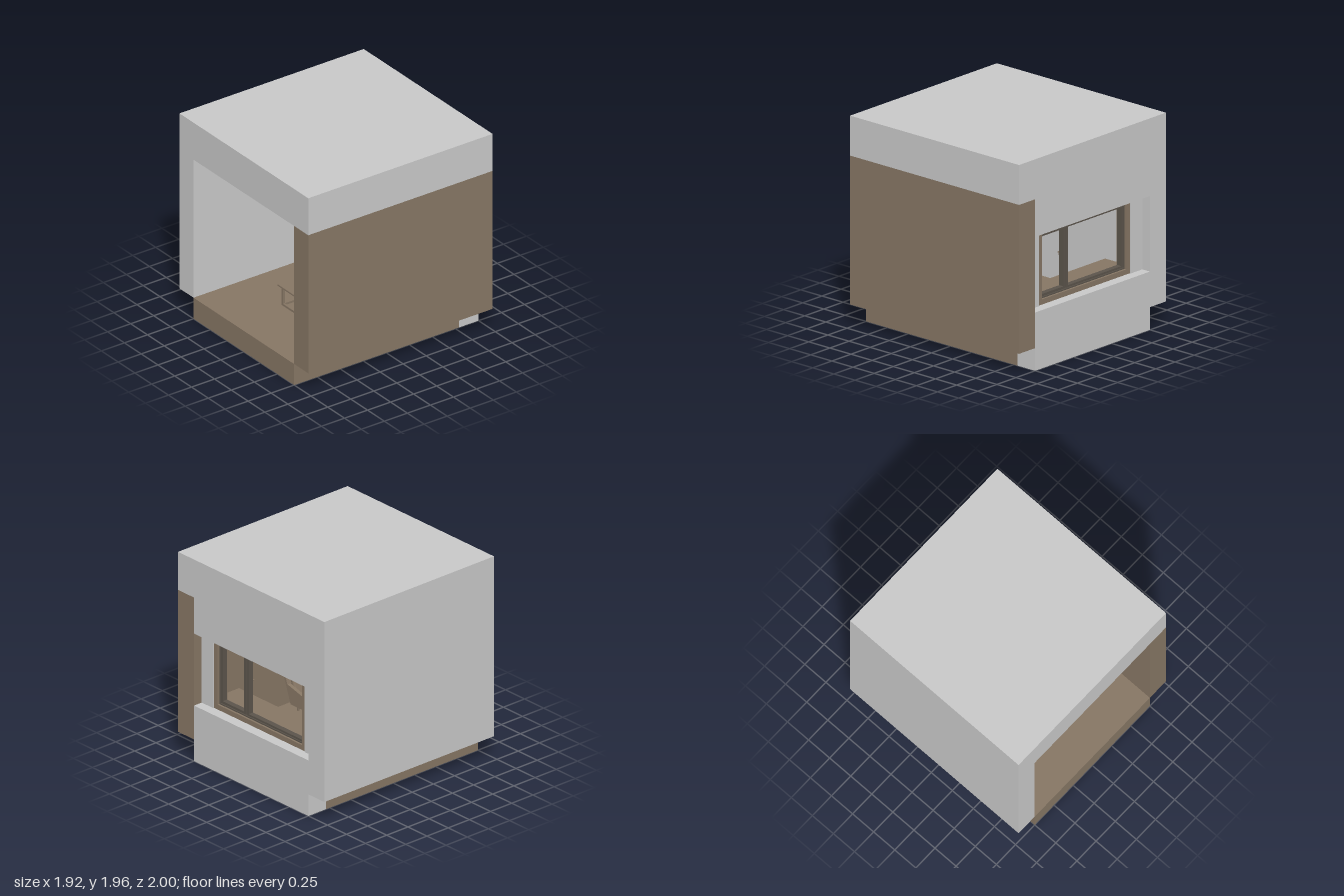
import * as THREE from 'three';
import { RoundedBoxGeometry } from 'three/addons/geometries/RoundedBoxGeometry.js';

const material = (name, color) => {
  const m = new THREE.MeshStandardMaterial({ color });
  m.name = name;
  return m;
};

export function createModel() {
  const plaster = material('plaster grey', 0xc8c8c8);
  const wood = material('wood brown', 0x867664);
  const metal = material('dark window frame', 0x5b544b);
  const seal = material('black seal', 0x26231f);

  const model = new THREE.Group();
  model.name = 'room';

  const group = (name) => {
    const g = new THREE.Group();
    g.name = name;
    model.add(g);
    return g;
  };
  const add = (parent, name, geometry, mat) => {
    const mesh = new THREE.Mesh(geometry, mat);
    mesh.name = name;
    parent.add(mesh);
    return mesh;
  };
  // Box given by its limits along each axis
  const box = (parent, name, mat, x0, x1, y0, y1, z0, z1) =>
    add(parent, name, new THREE.BoxGeometry(x1 - x0, y1 - y0, z1 - z0), mat)
      .position.set((x0 + x1) / 2, (y0 + y1) / 2, (z0 + z1) / 2);
  // Side profile in x and y, extruded between two z values
  const prism = (parent, name, mat, points, z0, z1) => {
    const shape = new THREE.Shape(points.map(([x, y]) => new THREE.Vector2(x, y)));
    const geometry = new THREE.ExtrudeGeometry(shape, { depth: z1 - z0, bevelEnabled: false });
    add(parent, name, geometry, mat).position.z = z0;
  };
  // Rectangular frame with a hole, extruded between two z values
  const frame = (parent, name, mat, x0, x1, y0, y1, border, z0, z1) => {
    const rect = (Type, a, b, c, d) => new Type([
      new THREE.Vector2(a, c), new THREE.Vector2(b, c), new THREE.Vector2(b, d), new THREE.Vector2(a, d)]);
    const shape = rect(THREE.Shape, x0, x1, y0, y1);
    shape.holes.push(rect(THREE.Path, x0 + border, x1 - border, y0 + border, y1 - border));
    const geometry = new THREE.ExtrudeGeometry(shape, { depth: z1 - z0, bevelEnabled: false });
    add(parent, name, geometry, mat).position.z = z0;
  };

  // Room shell
  const shell = group('shell');
  box(shell, 'ceilingSlab', plaster, -0.96, 0.96, 1.59, 1.96, -1, 1);
  box(shell, 'leftWall', plaster, -0.96, -0.75, 0.21, 1.59, -1, 1);
  box(shell, 'woodWall', wood, 0.75, 0.96, 0.21, 1.59, -1, 1);
  box(shell, 'floor', wood, -0.75, 0.75, 0, 0.21, -0.79, 1);
  box(shell, 'backWallLower', plaster, -0.75, 0.75, 0, 0.54, -1, -0.79);
  box(shell, 'backWallUpper', plaster, -0.75, 0.75, 1.24, 1.59, -1, -0.79);
  box(shell, 'windowPierRight', plaster, -0.75, -0.6, 0.54, 1.24, -0.91, -0.79);
  box(shell, 'windowPierLeft', plaster, 0.6, 0.75, 0.54, 1.24, -0.91, -0.79);
  box(shell, 'windowBench', wood, -0.75, 0.75, 0.21, 0.54, -0.79, -0.47);

  // Window: wooden casing, dark frame, two sashes and their handles
  const win = group('window');
  frame(win, 'casing', wood, -0.6, 0.6, 0.54, 1.24, 0.048, -0.9, -0.785);
  frame(win, 'outerFrame', metal, -0.552, 0.552, 0.588, 1.192, 0.012, -0.88, -0.81);
  frame(win, 'wideSash', metal, -0.545, 0.201, 0.595, 1.185, 0.024, -0.87, -0.82);
  frame(win, 'narrowSash', metal, 0.209, 0.545, 0.595, 1.185, 0.028, -0.87, -0.82);
  box(win, 'sashSeal', seal, 0.2, 0.21, 0.6, 1.18, -0.86, -0.83);
  for (const [x, dir] of [[0.19, -1], [0.222, 1]]) {
    box(win, 'handlePost', wood, x - 0.005, x + 0.005, 0.895, 0.93, -0.82, -0.805);
    box(win, 'handleGrip', wood, x - 0.01 + dir * 0.004, x + 0.01 + dir * 0.004, 0.92, 0.93, -0.81, -0.8);
  }

  // Coffee table on an open square frame
  const table = group('coffeeTable');
  box(table, 'tableTop', wood, -0.213, 0.213, 0.4, 0.415, 0.057, 0.48);
  frame(table, 'frontLegFrame', wood, -0.186, 0.186, 0.211, 0.4, 0.02, 0.434, 0.454);
  frame(table, 'backLegFrame', wood, -0.186, 0.186, 0.211, 0.4, 0.02, 0.083, 0.103);
  for (const x of [-0.186, 0.166]) {
    for (const y of [0.211, 0.38]) box(table, 'sideRail', wood, x, x + 0.02, y, y + 0.02, 0.103, 0.434);
  }

  // Armchair facing the left wall
  const chair = group('armchair');
  const zMin = 0.03, zMax = 0.56, arm = 0.035;
  const side = [[0.315, 0.265], [0.63, 0.265], [0.676, 0.4], [0.67, 0.445], [0.315, 0.352]];
  prism(chair, 'arm', wood, side, zMin, zMin + arm);
  prism(chair, 'arm', wood, side, zMax - arm, zMax);
  prism(chair, 'backrest', wood,
    [[0.612, 0.275], [0.633, 0.275], [0.737, 0.563], [0.717, 0.568]], zMin, zMax);
  box(chair, 'seatBase', wood, 0.32, 0.63, 0.267, 0.3, zMin + arm, zMax - arm);
  const zMid = (zMin + zMax) / 2, inner = zMax - zMin - 2 * arm;
  add(chair, 'seatCushion', new RoundedBoxGeometry(0.31, 0.05, inner, 3, 0.018), wood)
    .position.set(0.463, 0.318, zMid);
  const backCushion = add(chair, 'backCushion', new RoundedBoxGeometry(0.045, 0.25, inner, 3, 0.02), wood);
  backCushion.position.set(0.648, 0.455, zMid);
  backCushion.rotation.z = -0.35;
  for (const x of [0.365, 0.578]) {
    for (const z of [zMin + 0.045, zMax - 0.045]) {
      add(chair, 'chairLeg', new THREE.CylinderGeometry(0.015, 0.01, 0.057, 16), wood)
        .position.set(x, 0.2385, z);
    }
  }

  return model;
}
